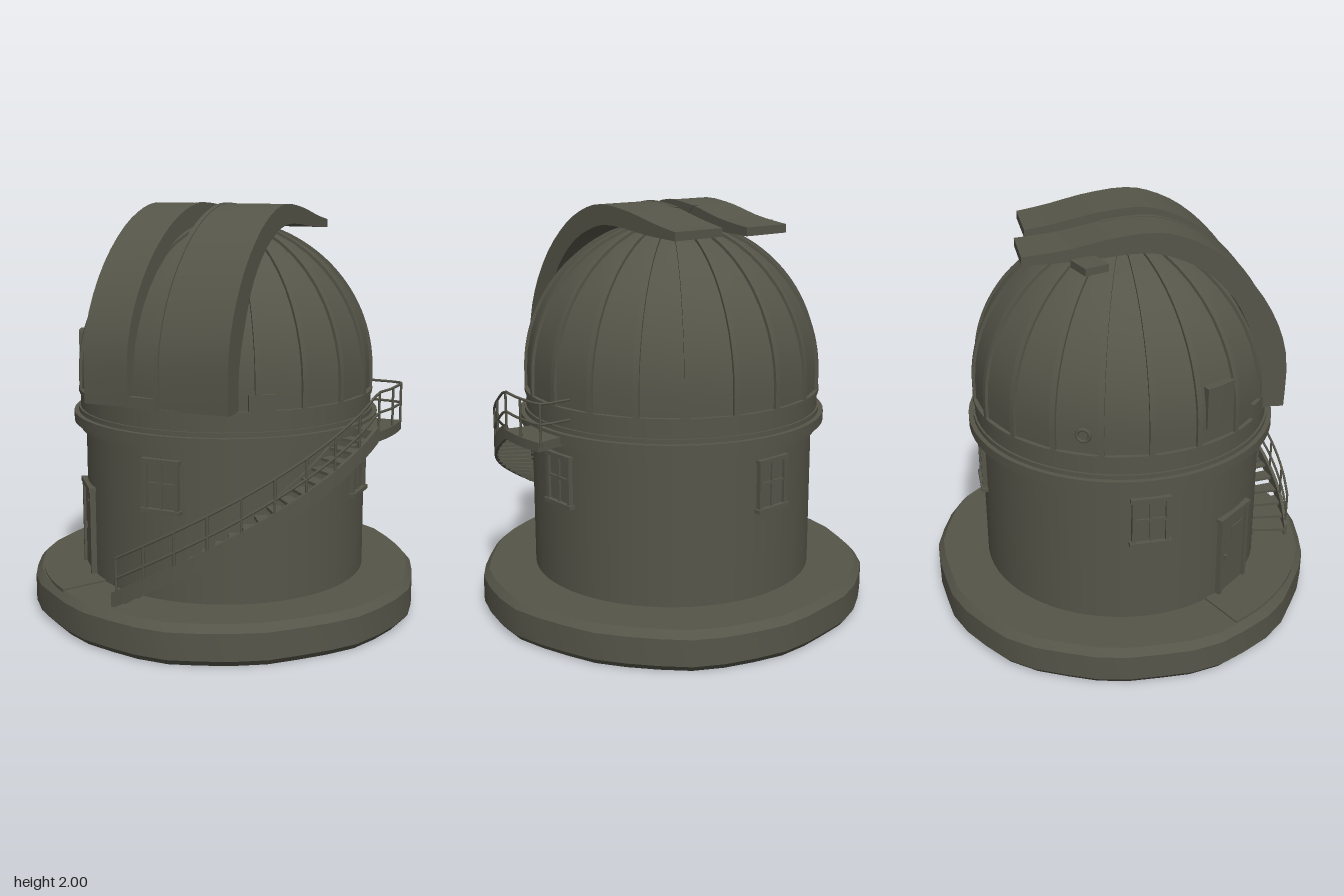
import * as THREE from 'three';
import { toCreasedNormals } from 'three/addons/utils/BufferGeometryUtils.js';

const stone = new THREE.MeshStandardMaterial({ color: 0x565549 });
stone.name = 'dark olive stone';

function add(parent, name, geometry) {
  const mesh = new THREE.Mesh(geometry, stone);
  mesh.name = name;
  parent.add(mesh);
  return mesh;
}

function group(parent, name) {
  const g = new THREE.Group();
  g.name = name;
  parent.add(g);
  return g;
}

function box(parent, name, w, h, d, x, y, z) {
  const mesh = add(parent, name, new THREE.BoxGeometry(w, h, d));
  mesh.position.set(x, y, z);
  return mesh;
}

// Angle 0 is the front (+z), growing towards +x
const polar = (a, r, y) => new THREE.Vector3(r * Math.sin(a), y, r * Math.cos(a));

// Box bent around the tower; its underside follows bottom(angle)
function arcBox(parent, name, a0, a1, r0, r1, bottom, height, segments = 1) {
  const geo = new THREE.BoxGeometry(1, 1, 1, segments, 1, 1);
  const p = geo.attributes.position;
  for (let i = 0; i < p.count; i++) {
    const a = a0 + (a1 - a0) * (p.getX(i) + 0.5);
    const v = polar(a, r0 + (r1 - r0) * (p.getZ(i) + 0.5), bottom(a) + height * (p.getY(i) + 0.5));
    p.setXYZ(i, v.x, v.y, v.z);
  }
  geo.computeVertexNormals();
  return add(parent, name, geo);
}

function tube(parent, name, points, radius) {
  return add(parent, name, new THREE.TubeGeometry(new THREE.CatmullRomCurve3(points), 40, radius, 5));
}

// Rough round plinth with a worn rim
function buildPlinth(root) {
  const profile = [[0, 0], [0.94, 0], [0.965, 0.03], [0.965, 0.16], [0.935, 0.195], [0, 0.195]];
  const geo = new THREE.LatheGeometry(profile.map(([r, y]) => new THREE.Vector2(r, y)), 40);
  const p = geo.attributes.position;
  for (let i = 0; i < p.count; i++) {
    const a = Math.atan2(p.getX(i), p.getZ(i));
    const k = 1 + 0.009 * Math.sin(5 * a + 1) + 0.006 * Math.sin(13 * a);
    p.setX(i, p.getX(i) * k);
    p.setZ(i, p.getZ(i) * k);
  }
  add(root, 'plinth', toCreasedNormals(geo, 0.5));
  arcBox(root, 'doorStep', -1.13, -0.55, 0.7, 0.93, () => 0.17, 0.033, 8);
}

function buildTower(root) {
  const rings = [
    ['drum', 0.70, 0.18, 0.93], ['lowerMoulding', 0.725, 0.905, 0.945],
    ['cornice', 0.758, 0.942, 0.99], ['corniceNeck', 0.735, 0.99, 1.012],
    ['domeRing', 0.725, 1.01, 1.09], ['domeRingLip', 0.733, 1.085, 1.105],
  ];
  for (const [name, r, y0, y1] of rings) {
    add(root, name, new THREE.CylinderGeometry(r, r, y1 - y0, 64)).position.y = (y0 + y1) / 2;
  }

  // Four windows with a sill, lintel, frame and crossed glazing bars
  for (let i = 0; i < 4; i++) {
    const w = group(root, 'window');
    w.rotation.y = i * Math.PI / 2;
    box(w, 'windowPane', 0.16, 0.22, 0.008, 0, 0.745, 0.699);
    box(w, 'windowSill', 0.2, 0.02, 0.04, 0, 0.625, 0.705);
    box(w, 'windowLintel', 0.19, 0.02, 0.035, 0, 0.86, 0.702);
    for (const s of [-1, 1]) box(w, 'windowJamb', 0.018, 0.24, 0.03, s * 0.08, 0.743, 0.702);
    box(w, 'windowMullion', 0.014, 0.22, 0.02, 0, 0.743, 0.702);
    box(w, 'windowBar', 0.15, 0.014, 0.02, 0, 0.75, 0.702);
  }

  // Door with a small light
  const door = group(root, 'door');
  door.rotation.y = -0.87;
  box(door, 'doorLeaf', 0.2, 0.42, 0.03, 0, 0.405, 0.69);
  for (const s of [-1, 1]) box(door, 'doorJamb', 0.022, 0.43, 0.045, s * 0.105, 0.41, 0.695);
  box(door, 'doorLintel', 0.25, 0.022, 0.05, 0, 0.63, 0.697);
  box(door, 'doorLight', 0.09, 0.07, 0.008, 0.03, 0.515, 0.706);
  box(door, 'doorHandle', 0.015, 0.03, 0.02, -0.07, 0.4, 0.711);
}

const DOME_R = 0.72, DOME_Y = 1.19;

function buildDome(root) {
  // Panelled shell
  const pts = [new THREE.Vector2(DOME_R, 1.1)];
  for (let i = 0; i <= 12; i++) {
    const t = i / 12 * Math.PI / 2;
    pts.push(new THREE.Vector2(Math.max(0, DOME_R * Math.cos(t)), DOME_Y + DOME_R * Math.sin(t)));
  }
  add(root, 'domeShell', toCreasedNormals(new THREE.LatheGeometry(pts, 20), 0.25));

  // Raised ribs between the panels
  const arc = new THREE.Shape();
  arc.moveTo(0.69, 1.1);
  arc.lineTo(0.732, 1.1);
  arc.absarc(0, DOME_Y, 0.732, 0, 1.42, false);
  arc.absarc(0, DOME_Y, 0.69, 1.42, 0, true);
  const ribGeo = new THREE.ExtrudeGeometry(arc, { depth: 0.026, bevelEnabled: false, curveSegments: 14 });
  ribGeo.translate(0, 0, -0.013);
  const rib = toCreasedNormals(ribGeo, 0.5);
  for (let i = 0; i < 20; i++) {
    if (i !== 15) add(root, 'domeRib', rib).rotation.y = i * Math.PI / 10;
  }

  // Small fittings at the foot of the dome
  arcBox(root, 'shutterStop', 0.57, 0.74, 0.66, 0.735, () => 1.1, 0.08, 3);
  arcBox(root, 'shutterStop', -0.74, -0.59, 0.66, 0.735, () => 1.1, 0.08, 3);
  arcBox(root, 'domeHatch', -1.2, -0.98, 0.66, 0.727, () => 1.18, 0.2, 3);
  const vent = add(root, 'ventRing', new THREE.TorusGeometry(0.03, 0.009, 6, 16));
  vent.position.copy(polar(-2.0, 0.722, 1.2));
  vent.rotation.y = -2.0;
}

const OUTER = [[0.725, 1.1], [0.725, 1.35], [0.665, 1.55], [0.55, 1.735], [0.4, 1.88],
  [0.25, 1.965], [0.1, 2.0], [-0.1, 1.98], [-0.3, 1.935], [-0.5, 1.91]];
const INNER = [[-0.5, 1.87], [-0.25, 1.88], [0, 1.905], [0.15, 1.89], [0.32, 1.81],
  [0.46, 1.67], [0.55, 1.49], [0.595, 1.33], [0.6, 1.1]];

// Curved band; front and back give its x limits at z = 0.69 and at its tail
function band(parent, name, outer, inner, front, back, tail) {
  const v = ([z, y]) => new THREE.Vector2(Math.max(z, tail), y);
  const curve = (list) => new THREE.SplineCurve(list.map(v)).getPoints(24);
  const shape = new THREE.Shape([...curve(outer), ...curve(inner)]);
  const geo = new THREE.ExtrudeGeometry(shape, { depth: 1, bevelEnabled: false });
  const p = geo.attributes.position;
  for (let i = 0; i < p.count; i++) {
    const z = p.getX(i), t = 1 - p.getZ(i);
    const k = (0.69 - z) / (0.69 - tail);
    const x0 = front[0] + (back[0] - front[0]) * k;
    const x1 = front[1] + (back[1] - front[1]) * k;
    p.setXYZ(i, x0 + (x1 - x0) * t, p.getY(i), z);
  }
  geo.computeVertexNormals();
  return add(parent, name, toCreasedNormals(geo, 0.5));
}

function buildShutters(root) {
  const g = group(root, 'shutters');
  band(g, 'rightShutter', OUTER, INNER, [-0.38, -0.15], [-0.275, -0.015], -0.5);
  band(g, 'leftShutter', OUTER, INNER, [-0.01, 0.345], [0.08, 0.37], -0.44);

  // Raised rails along the slot edges
  const railOuter = OUTER.slice(0, 8).map(([z, y]) => [z * 1.012, y + (y > 1.2 ? 0.003 : 0)]);
  const railInner = INNER.slice(2);
  band(g, 'slotRail', railOuter, railInner, [-0.165, -0.145], [-0.035, -0.01], -0.5);
  band(g, 'slotRail', railOuter, railInner, [-0.015, 0.01], [0.075, 0.095], -0.44);
  box(g, 'slotSill', 0.14, 0.05, 0.04, -0.08, 1.125, 0.71);

  // Flap beside the right shutter
  const flap = box(g, 'shutterFlap', 0.13, 0.035, 0.12, -0.37, 1.885, -0.21);
  flap.rotation.y = 0.35;
}

function buildStairs(root) {
  const g = group(root, 'staircase');
  const A0 = -0.2, A1 = 1.34, TOP = 0.94, STEPS = 19;
  const rise = (a) => 0.2 + (TOP - 0.2) * Math.min(1, Math.max(0, (a - A0) / (A1 - A0)));

  arcBox(g, 'outerStringer', A0, A1, 0.875, 0.892, (a) => rise(a) - 0.015, 0.075, 28);
  arcBox(g, 'innerStringer', A0, A1, 0.695, 0.712, (a) => rise(a) - 0.01, 0.05, 28);
  const step = (A1 - A0) / STEPS;
  for (let i = 0; i < STEPS; i++) {
    const a = A0 + i * step, y = rise(a + step / 2);
    arcBox(g, 'tread', a, a + step * 1.05, 0.69, 0.88, () => y, 0.014, 2);
  }
  arcBox(g, 'landing', A1, 1.68, 0.69, 0.892, () => 0.93, 0.045, 8);

  // Handrail, middle rail and posts
  for (const [name, lift] of [['handrail', 0.215], ['middleRail', 0.12]]) {
    const pts = [];
    for (let i = 0; i <= 16; i++) {
      const a = A0 + 0.03 + (1.66 - A0) * i / 16;
      pts.push(polar(a, 0.885, rise(a) + lift));
    }
    pts.push(polar(1.74, 0.74, TOP + lift));
    tube(g, name, pts, 0.0065);
  }
  for (let i = 0; i <= 11; i++) {
    const a = A0 + 0.03 + (1.66 - A0) * i / 11;
    const post = add(g, 'railPost', new THREE.CylinderGeometry(0.006, 0.006, 0.2, 6));
    post.position.copy(polar(a, 0.885, rise(a) + 0.115));
  }
}

export function createModel() {
  const root = new THREE.Group();
  root.name = 'observatory';
  buildPlinth(root);
  buildTower(root);
  buildDome(root);
  buildShutters(root);
  buildStairs(root);
  return root;
}
